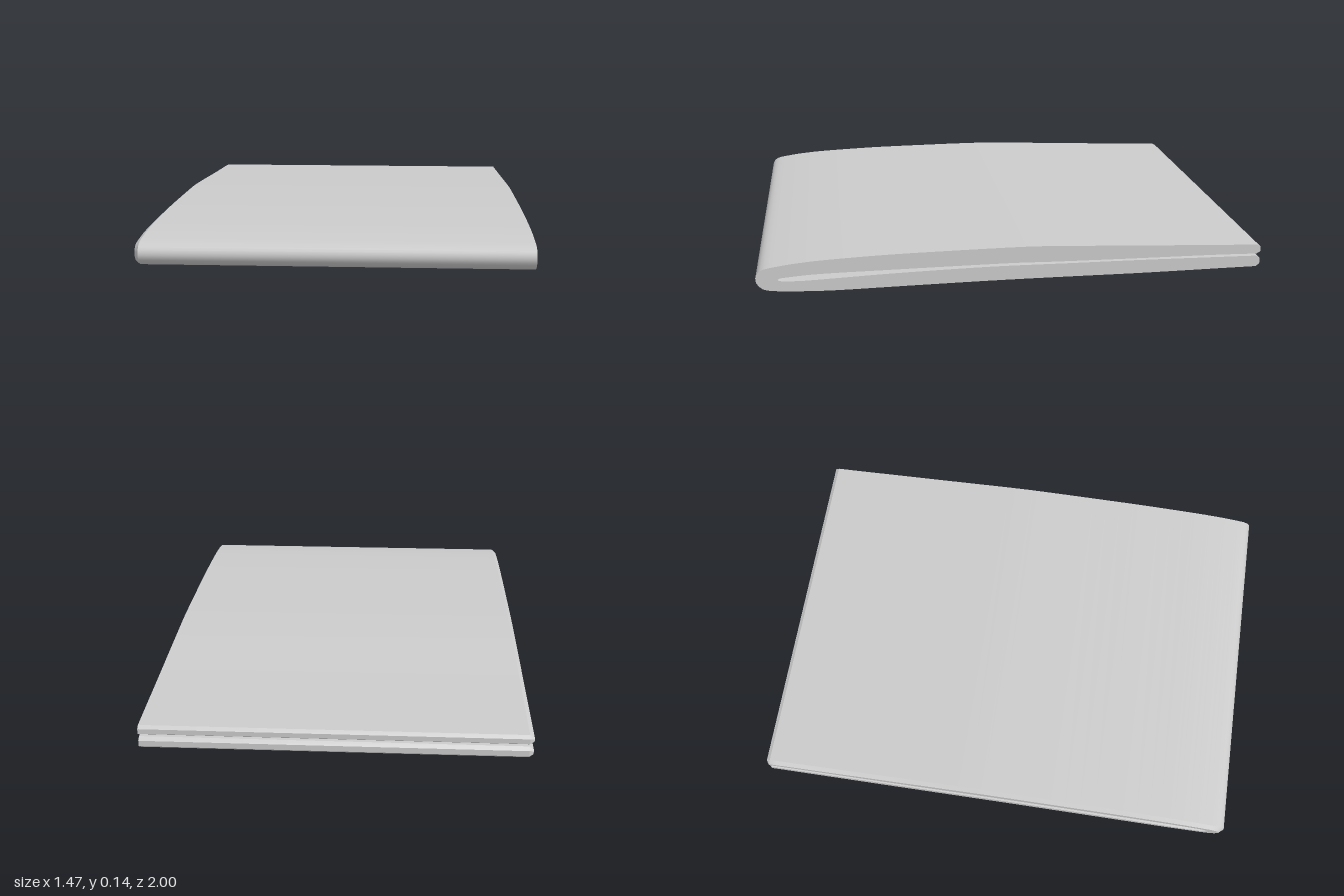
import * as THREE from 'three';
import { toCreasedNormals } from 'three/addons/utils/BufferGeometryUtils.js';

// Fold section from the lower back edge, round the front, to the upper back edge:
// outer z, outer y, inner z, inner y
const SECTION = [
  [-0.985, 0, -0.985, 0.046], [-0.8, 0, -0.8, 0.05], [-0.5, 0, -0.5, 0.056],
  [-0.2, 0.003, -0.2, 0.06], [0.1, 0.005, 0.1, 0.064], [0.45, 0.004, 0.45, 0.06],
  [0.7, 0.003, 0.7, 0.053], [0.85, 0.008, 0.82, 0.05], [0.92, 0.013, 0.89, 0.052],
  [0.975, 0.025, 0.91, 0.055], [1, 0.062, 0.917, 0.06], [0.98, 0.1, 0.91, 0.064],
  [0.91, 0.115, 0.89, 0.067], [0.82, 0.125, 0.8, 0.073], [0.72, 0.131, 0.7, 0.075],
  [0.5, 0.138, 0.5, 0.075], [0.25, 0.14, 0.25, 0.075], [0, 0.14, 0, 0.074],
  [-0.15, 0.136, -0.15, 0.07], [-0.5, 0.118, -0.5, 0.064], [-0.8, 0.103, -0.8, 0.06],
  [-0.985, 0.094, -0.985, 0.055],
];

// Move both points of a pair towards their midpoint
function narrow([o, i], amount) {
  const mid = o.clone().lerp(i, 0.5);
  return [o.clone().lerp(mid, amount), i.clone().lerp(mid, amount)];
}

// Smooth outer/inner pairs, with a narrowed tip at each back edge
function sectionPairs() {
  const steps = (SECTION.length - 1) * 4;
  const curve = (k) => new THREE.SplineCurve(SECTION.map((s) => new THREE.Vector2(s[k], s[k + 1]))).getPoints(steps);
  const outer = curve(0), inner = curve(2);
  const pairs = outer.map((o, k) => [o, inner[k]]);
  const tip = (pair) => narrow(pair, 0.5).map((p) => p.setX(-1));
  return [tip(pairs[0]), ...pairs, tip(pairs[pairs.length - 1])];
}

function foldedSheetGeometry() {
  const pairs = sectionPairs();
  const n = pairs.length, ringSize = 2 * n;

  // Chamfered end: a thinner section, pulled in at the back edges
  const inset = pairs.map((p) => narrow(p, 0.5));
  for (const k of [0, n - 1]) inset[k].forEach((p) => p.setX(-0.99));

  const rings = [[0.735, pairs], [-0.718, pairs], [-0.735, inset]];
  const positions = [], index = [];
  for (const [x, ps] of rings) {
    for (const p of ps) positions.push(x, p[0].y, p[0].x);
    for (const p of [...ps].reverse()) positions.push(x, p[1].y, p[1].x);
  }

  // Skin between neighbouring rings
  for (let r = 0; r < rings.length - 1; r++) {
    for (let i = 0; i < ringSize; i++) {
      const j = (i + 1) % ringSize;
      const a = r * ringSize + i, b = r * ringSize + j;
      index.push(a, b, a + ringSize, b, b + ringSize, a + ringSize);
    }
  }

  // End caps, as strips across the sheet thickness
  const last = (rings.length - 1) * ringSize;
  for (let k = 0; k < n - 1; k++) {
    const o = k, o2 = k + 1, i = ringSize - 1 - k, i2 = i - 1;
    index.push(o, i, o2, o2, i, i2);
    index.push(last + o, last + o2, last + i, last + o2, last + i2, last + i);
  }

  const geometry = new THREE.BufferGeometry();
  geometry.setAttribute('position', new THREE.Float32BufferAttribute(positions, 3));
  geometry.setIndex(index);
  return toCreasedNormals(geometry, 0.5);
}

export function createModel() {
  const group = new THREE.Group();
  group.name = 'foldedCover';
  const sheet = new THREE.Mesh(foldedSheetGeometry(), new THREE.MeshStandardMaterial({ color: 0xcccccc }));
  sheet.name = 'foldedSheet';
  group.add(sheet);
  return group;
}
